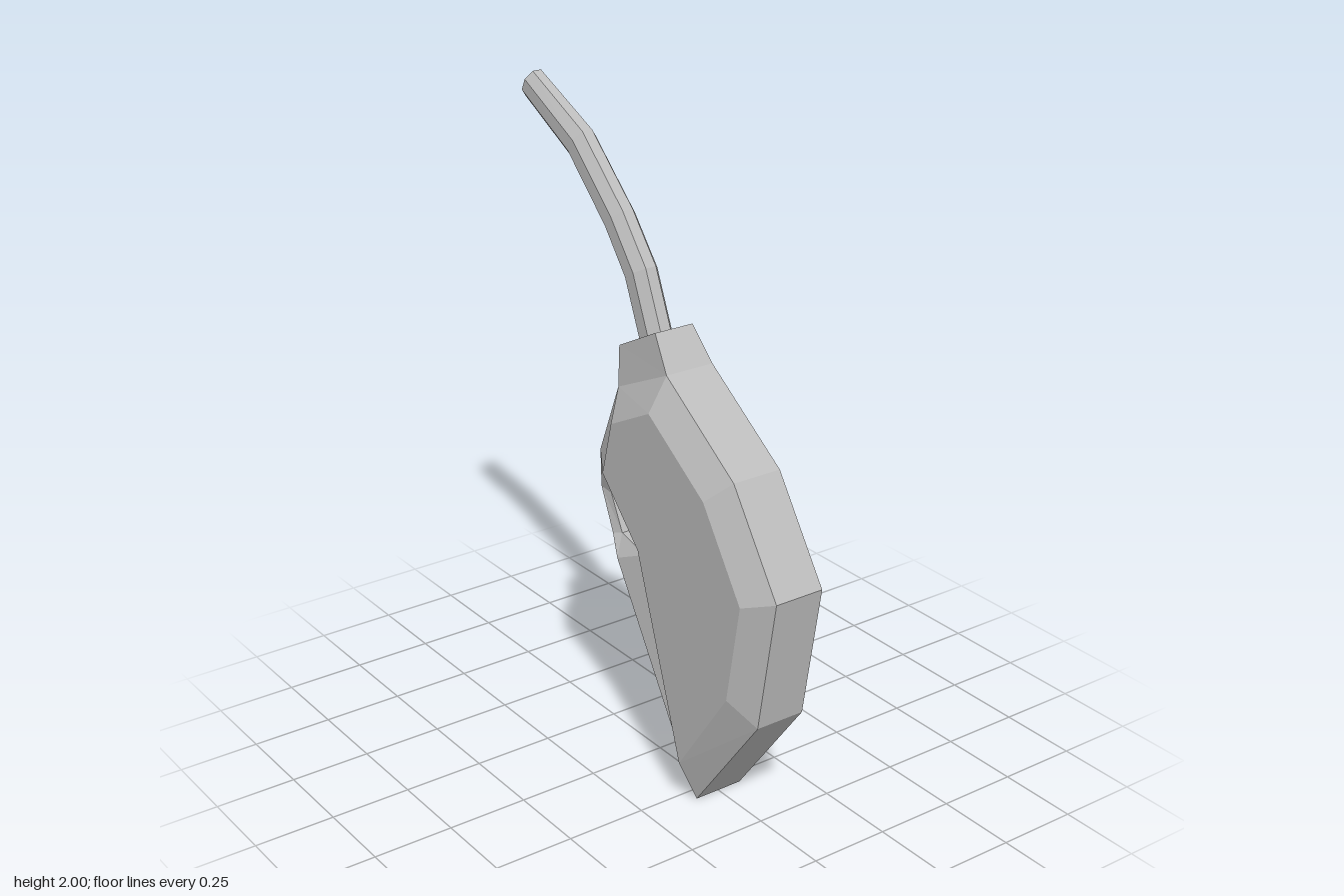
import * as THREE from 'three';

// Builds a flat-shaded mesh from convex faces, each a loop of [x, y, z] corners
function facetedMesh(name, faces, material) {
  const pos = [];
  for (const f of faces) {
    for (let i = 1; i < f.length - 1; i++) pos.push(...f[0], ...f[i], ...f[i + 1]);
  }
  const g = new THREE.BufferGeometry();
  g.setAttribute('position', new THREE.Float32BufferAttribute(pos, 3));
  g.computeVertexNormals();
  const mesh = new THREE.Mesh(g, material);
  mesh.name = name;
  return mesh;
}

const mirror = ([x, y, z]) => [x, y, -z];

// Side faces, their mirror images, and the rim strips that join both halves
function mirroredFaces(points, sides, rims) {
  const faces = [];
  for (const s of sides) {
    const f = [...s].map((k) => points[k]);
    faces.push(f, f.map(mirror).reverse());
  }
  for (const rim of rims) {
    for (let i = 0; i < rim.length - 1; i++) {
      const p = points[rim[i]], q = points[rim[i + 1]];
      faces.push([p, mirror(p), mirror(q), q]);
    }
  }
  return faces;
}

// Octagonal pipe swept through centres [x, y, half height, half depth]
function pipeFaces(path) {
  const n = 8;
  const rings = path.map(([x, y, h, d], i) => {
    const a = path[Math.max(i - 1, 0)], b = path[Math.min(i + 1, path.length - 1)];
    const t = new THREE.Vector2(b[0] - a[0], b[1] - a[1]).normalize();
    return Array.from({ length: n }, (_, k) => {
      const ang = ((k + 0.5) / n) * Math.PI * 2;
      const u = Math.cos(ang) * h;
      return [x - t.y * u, y + t.x * u, Math.sin(ang) * d];
    });
  });
  const faces = [rings[rings.length - 1], [...rings[0]].reverse()];
  for (let i = 0; i < rings.length - 1; i++) {
    for (let k = 0; k < n; k++) {
      const m = (k + 1) % n;
      faces.push([rings[i][k], rings[i][m], rings[i + 1][m], rings[i + 1][k]]);
    }
  }
  return faces;
}

export function createModel() {
  const group = new THREE.Group();
  group.name = 'fuelNozzle';
  const metal = new THREE.MeshStandardMaterial({ color: 0xbbbbbb });
  metal.name = 'grey metal';

  const points = {
    // collar
    A: [-0.11, 1.31, 0.065], B: [0.065, 1.4, 0.065], C: [0.14, 1.3, 0.08], M: [-0.095, 1.19, 0.08],
    // back and base outline
    D: [0.45, 1.085, 0.08], E: [0.645, 0.795, 0.08], F: [0.575, 0.375, 0.08],
    G: [0.295, 0, 0.08], H: [0.225, 0.03, 0.06],
    // trigger guard, outside then inside
    I: [-0.115, 0.63, 0.075], J: [-0.18, 0.68, 0.045], K: [-0.245, 0.81, 0.04], L: [-0.19, 0.96, 0.08],
    N: [-0.155, 0.925, 0.05], O: [-0.2, 0.8, 0.035], P: [-0.145, 0.69, 0.035], Q: [0, 0.68, 0.055],
    // raised side panel
    a: [-0.055, 1.1, 0.135], b: [0.13, 1.195, 0.135], c: [0.385, 1.02, 0.135], d: [0.555, 0.765, 0.135],
    e: [0.5, 0.45, 0.135], f: [0.28, 0.135, 0.135], g: [0.075, 0.748, 0.135], h: [-0.1, 0.93, 0.135],
  };

  // Body: side panel, bevels around it and the lower handle
  group.add(facetedMesh('body', mirroredFaces(points,
    ['gfedcbah', 'MabC', 'CbcD', 'DcdE', 'EdeF', 'FefG', 'MLha', 'LNh', 'hNQg', 'gQGf', 'QIHG'],
    ['ML', 'IHGFEDC', 'NQ']), metal));

  // Collar that holds the spout
  group.add(facetedMesh('collar', mirroredFaces(points, ['AMCB'], ['CBAM']), metal));

  // Guard loop around the trigger opening
  group.add(facetedMesh('triggerGuard', mirroredFaces(points,
    ['LKON', 'KJPO', 'JIP', 'PIQ'], ['LKJI', 'QPON']), metal));

  // Bent spout
  group.add(facetedMesh('spout', pipeFaces([
    [0.01, 1.28, 0.059, 0.046], [-0.02, 1.35, 0.059, 0.046], [-0.092, 1.522, 0.059, 0.046],
    [-0.195, 1.652, 0.058, 0.045], [-0.385, 1.832, 0.057, 0.044], [-0.635, 1.957, 0.05, 0.038],
  ]), metal));

  return group;
}
